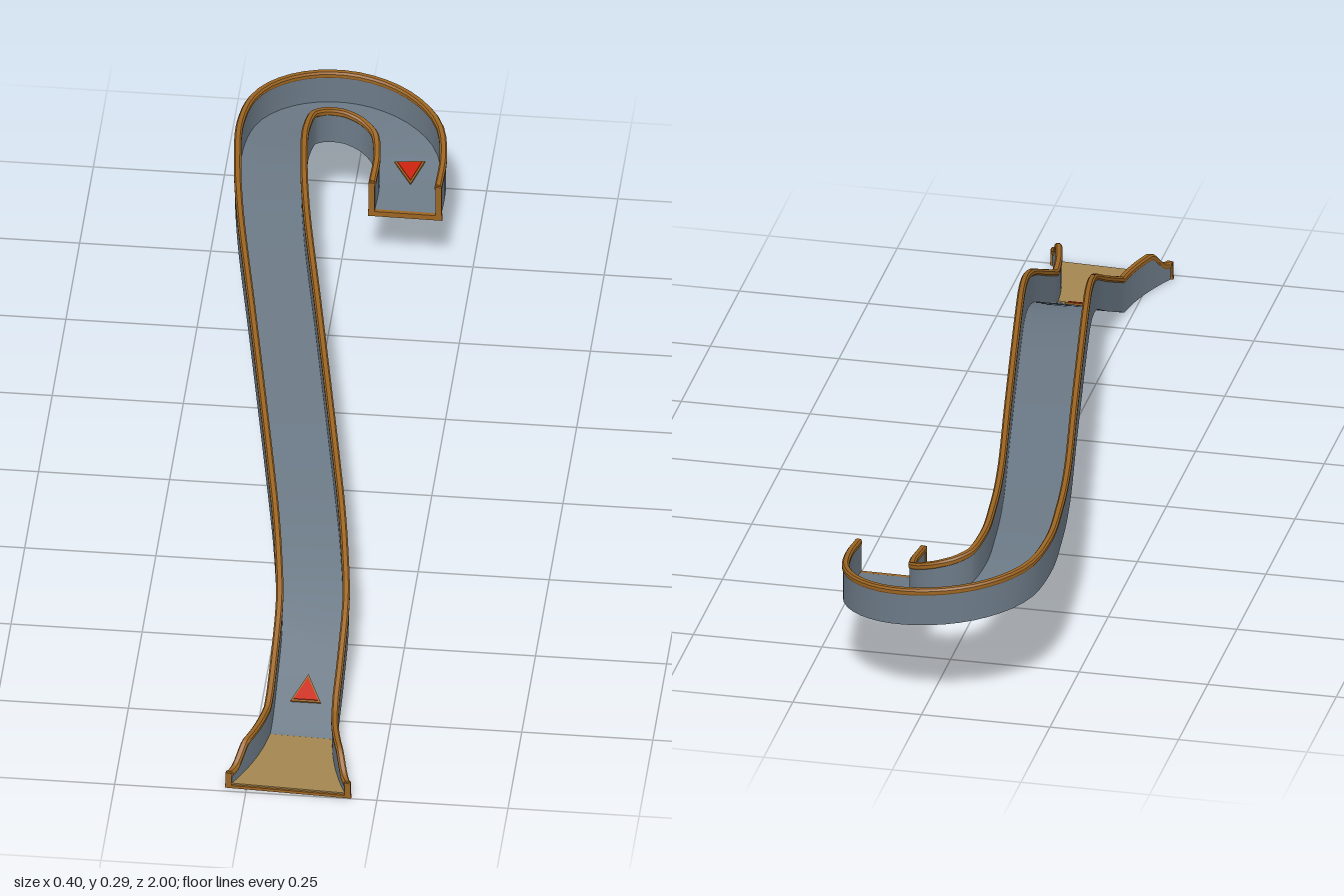
import * as THREE from 'three';

const V = (x, y, z) => new THREE.Vector3(x, y, z);
const UP = V(0, 1, 0);

export function createModel() {
  const group = new THREE.Group();
  const material = (name, color) => {
    const m = new THREE.MeshStandardMaterial({ color });
    m.name = name;
    return m;
  };
  const slate = material('slate', 0x6c7a87);
  const brown = material('railBrown', 0x9c6522);
  const tan = material('mouthTan', 0xa3864f);
  const red = material('arrowRed', 0xc8220e);

  const add = (name, geometry, mat) => {
    const mesh = new THREE.Mesh(geometry, mat);
    mesh.name = name;
    group.add(mesh);
    return mesh;
  };

  // Centre line: a level mouth, then a climbing run that ends in a hook
  const mouth = new THREE.CatmullRomCurve3([V(0.08, 0, 0.99), V(0.084, 0, 0.9), V(0.087, 0, 0.82)]);
  const run = new THREE.CatmullRomCurve3([
    V(0.087, 0, 0.82), V(0.088, 0.052, 0.71), V(0.086, 0.105, 0.6), V(0.073, 0.143, 0.5),
    V(0.057, 0.167, 0.4), V(0.039, 0.181, 0.3), V(0.003, 0.195, 0.1), V(-0.051, 0.207, -0.2),
    V(-0.105, 0.217, -0.5), V(-0.125, 0.219, -0.65), V(-0.133, 0.215, -0.78), V(-0.116, 0.206, -0.865),
    V(-0.068, 0.197, -0.913), V(-0.003, 0.187, -0.93), V(0.062, 0.175, -0.913), V(0.11, 0.163, -0.865),
    V(0.126, 0.15, -0.79), V(0.125, 0.14, -0.71),
  ]);

  // Stations carry position, direction, half width and wall height
  const station = (curve, t) => {
    const p = curve.getPointAt(t);
    const tangent = curve.getTangentAt(t);
    const right = tangent.clone().cross(UP).normalize();
    const flare = THREE.MathUtils.clamp((p.z - 0.78) / 0.21, 0, 1);
    const drop = THREE.MathUtils.smoothstep(p.z, 0.93, 0.98);
    return { p, tangent, right, half: 0.07 + 0.05 * flare ** 2, height: 0.075 - 0.038 * drop };
  };
  const mouthStations = Array.from({ length: 21 }, (_, i) => station(mouth, i / 20));
  const runStations = Array.from({ length: 120 }, (_, i) => station(run, (i + 1) / 120));
  const all = [...mouthStations, ...runStations];

  // Sweep a convex, counter-clockwise section with sharp long edges
  const sweep = (stations, section) => {
    const rings = stations.map((s) => section(s).map(([u, v]) =>
      s.p.clone().addScaledVector(s.right, u).addScaledVector(UP, v)));
    const pos = [], index = [];
    const n = rings[0].length;
    for (let k = 0; k < n; k++) {
      const base = pos.length / 3;
      rings.forEach((r, i) => {
        pos.push(...r[k].toArray(), ...r[(k + 1) % n].toArray());
        if (i === 0) return;
        const a0 = base + 2 * (i - 1);
        index.push(a0, a0 + 3, a0 + 1, a0, a0 + 2, a0 + 3);
      });
    }
    [rings[0], rings[rings.length - 1].slice().reverse()].forEach((r) => {
      const base = pos.length / 3;
      r.forEach((q) => pos.push(...q.toArray()));
      for (let k = 1; k < n - 1; k++) index.push(base, base + k, base + k + 1);
    });
    const g = new THREE.BufferGeometry();
    g.setAttribute('position', new THREE.Float32BufferAttribute(pos, 3));
    g.setIndex(index);
    g.computeVertexNormals();
    return g;
  };
  const rect = (u0, u1, v0, v1) => [[u0, v0], [u1, v0], [u1, v1], [u0, v1]];

  // Floor and the tan mouth plate
  add('floor', sweep(all, (s) => rect(-s.half + 0.002, s.half - 0.002, 0, 0.006)), slate);
  add('mouthFloor', sweep(mouthStations, (s) => rect(-s.half + 0.01, s.half - 0.01, 0.005, 0.009)), tan);

  // Side walls with a bevelled rail on top
  for (const [side, name] of [[1, 'left'], [-1, 'right']]) {
    const mid = (s) => side * (s.half - 0.007);
    add(name + 'Wall', sweep(all, (s) => rect(mid(s) - 0.005, mid(s) + 0.005, 0, s.height - 0.008)), slate);
    add(name + 'Rail', sweep(all, (s) => [
      [-0.005, -0.013], [0.005, -0.013], [0.007, -0.01], [0.007, -0.004],
      [0.004, 0], [-0.004, 0], [-0.007, -0.004], [-0.007, -0.01],
    ].map(([u, v]) => [mid(s) + u, s.height + v])), brown);
  }

  // Brown trim framing both open ends
  const trimBox = (name, s, u, v, w, h) => {
    const mesh = add(name, new THREE.BoxGeometry(w, h, 0.008), brown);
    mesh.position.copy(s.p).addScaledVector(s.right, u).addScaledVector(UP, v);
    mesh.rotation.y = Math.atan2(-s.right.z, s.right.x);
  };
  [['mouth', all[0], 0.006], ['top', all[all.length - 1], 0.011]].forEach(([name, s, lip]) => {
    for (const side of [-1, 1]) {
      trimBox(name + 'EndPost', s, side * (s.half - 0.006), s.height / 2, 0.011, s.height - 0.006);
    }
    trimBox(name + 'EndLip', s, 0, name === 'top' ? 0.001 : lip / 2, 2 * s.half + 0.002, lip);
  });

  // Red direction arrows with a brown border, lying on the floor
  const triangle = (w, h, depth) => new THREE.ExtrudeGeometry(
    new THREE.Shape([new THREE.Vector2(-w / 2, -h / 2), new THREE.Vector2(w / 2, -h / 2), new THREE.Vector2(0, h / 2)]),
    { depth, bevelEnabled: false });
  const arrow = (name, target) => {
    const s = runStations.reduce((a, b) =>
      (Math.hypot(b.p.x - target[0], b.p.z - target[1]) < Math.hypot(a.p.x - target[0], a.p.z - target[1]) ? b : a));
    const normal = s.right.clone().cross(s.tangent).normalize();
    const arrowGroup = new THREE.Group();
    arrowGroup.name = name;
    const border = new THREE.Mesh(triangle(0.058, 0.06, 0.004), brown);
    border.name = 'arrowBorder';
    const face = new THREE.Mesh(triangle(0.046, 0.048, 0.006), red);
    face.name = 'arrowFace';
    face.position.y = -0.002;
    arrowGroup.add(border, face);
    arrowGroup.applyMatrix4(new THREE.Matrix4().makeBasis(s.right, s.tangent, normal));
    arrowGroup.position.copy(s.p).addScaledVector(normal, 0.006);
    group.add(arrowGroup);
  };
  arrow('lowerArrow', [0.087, 0.718]);
  arrow('upperArrow', [0.12, -0.815]);

  return group;
}
